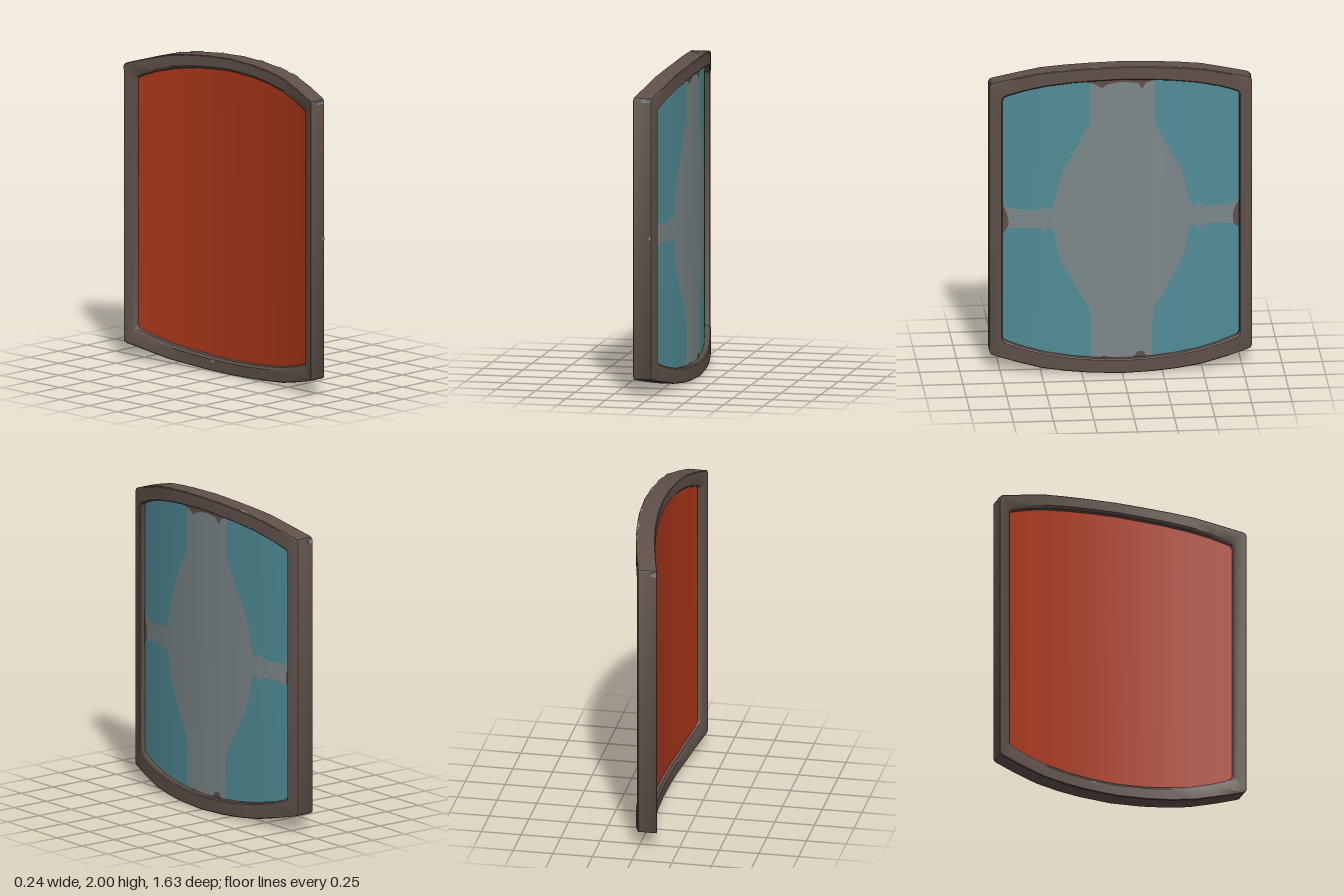
import * as THREE from 'three';
import { toCreasedNormals } from 'three/addons/utils/BufferGeometryUtils.js';

// One quarter of the rim: outer z, outer height, inner z, inner height (heights from the middle)
const QUARTER = [
  [0, 1, 0, 0.915], [0.2, 0.992, 0.18, 0.907], [0.35, 0.979, 0.32, 0.894], [0.5, 0.958, 0.47, 0.87],
  [0.65, 0.918, 0.6, 0.836], [0.79, 0.876, 0.7, 0.799], [0.805, 0.868, 0.725, 0.786], [0.813, 0.852, 0.735, 0.764],
];
// Rim cross-section: how far inwards (0 outer, 1 inner), and depth
const SECTION = [[0.05, 0], [0, 0.004], [0, 0.117], [0.05, 0.121], [0.92, 0.121], [1, 0.114], [1, 0.03], [0.95, 0.012], [0.78, 0]];

// The lower rim arches less than the upper one
const lowerOuter = (h) => -1 + (1 - h) * 0.8;
const lowerInner = (h) => -0.91 + (0.915 - h) * 0.85;

// The whole shield bends backwards towards its sides
const bend = (z) => -0.12 * (z / 0.812) ** 2;

// Linear interpolation in a list of [z, value]
function lerpTable(table, z) {
  for (let i = 1; i < table.length; i++) {
    const [z0, v0] = table[i - 1], [z1, v1] = table[i];
    if (z <= z1) return v0 + (v1 - v0) * (z - z0) / (z1 - z0);
  }
  return table[table.length - 1][1];
}

function makeGeometry(positions, index) {
  const g = new THREE.BufferGeometry();
  g.setAttribute('position', new THREE.Float32BufferAttribute(positions, 3));
  g.setIndex(index);
  g.computeVertexNormals();
  return g;
}

// Closed rim lofted around the outline
function rimGeometry() {
  const upper = (side) => ([oz, oy, iz, iy]) => [oz * side, oy, iz * side, iy];
  const lower = (side) => ([oz, oy, iz, iy]) => [oz * side, lowerOuter(oy), iz * side, lowerInner(iy)];
  const back = [...QUARTER].reverse();
  const loop = [
    ...QUARTER.map(upper(1)),
    ...back.map(lower(1)),
    ...QUARTER.slice(1).map(lower(-1)),
    ...back.slice(0, -1).map(upper(-1)),
  ];
  const pos = [], idx = [], n = loop.length, m = SECTION.length;
  loop.forEach(([oz, oy, iz, iy], i) => {
    SECTION.forEach(([t, x], j) => {
      const z = oz + (iz - oz) * t;
      pos.push(x + bend(z), 1 + oy + (iy - oy) * t, z);
      const a = i * m + j, b = ((i + 1) % n) * m + j;
      const c = i * m + (j + 1) % m, d = ((i + 1) % n) * m + (j + 1) % m;
      idx.push(a, b, c, b, d, c);
    });
  });
  return toCreasedNormals(makeGeometry(pos, idx), 0.6);
}

// Strip of quads between two edges, each a function of z giving [x, y]
function stripGeometry(zs, edgeA, edgeB, flip = false) {
  const pos = [], idx = [];
  zs.forEach((z, i) => {
    pos.push(...edgeA(z), z, ...edgeB(z), z);
    if (i === zs.length - 1) return;
    const a = 2 * i, b = a + 1, c = a + 2, d = a + 3;
    if (flip) idx.push(a, c, b, b, c, d);
    else idx.push(a, b, c, b, d, c);
  });
  return makeGeometry(pos, idx);
}

// Upright curved sheet between two height functions of z
const sheetGeometry = (zs, low, high, depth, facesBack) =>
  stripGeometry(zs, (z) => [depth + bend(z), low(z)], (z) => [depth + bend(z), high(z)], facesBack);

export function createModel() {
  const material = (name, color) => {
    const m = new THREE.MeshStandardMaterial({ color });
    m.name = name;
    return m;
  };
  const brown = material('rim brown', 0x5f5049);
  const teal = material('teal paint', 0x508c95);
  const grey = material('grey metal', 0x7c878a);
  const red = material('red backing', 0xab3719);

  const group = new THREE.Group();
  group.name = 'shield';
  const add = (name, geometry, mat) => {
    const mesh = new THREE.Mesh(geometry, mat);
    mesh.name = name;
    group.add(mesh);
    return mesh;
  };

  add('rim', rimGeometry(), brown);

  // Panel edge, tucked slightly under the rim
  const edge = QUARTER.map((q) => [q[2], q[3]]);
  const top = (z) => 1.003 + lerpTable(edge, Math.abs(z));
  const bottom = (z) => 0.997 + lowerInner(lerpTable(edge, Math.abs(z)));

  // Outline of the grey emblem: central post, swelling boss and side arms
  const emblemTop = [[0.2, 1.62], [0.25, 1.53], [0.3, 1.43], [0.36, 1.32], [0.39, 1.24], [0.41, 1.13], [0.435, 1.06],
    [0.46, 1.055], [0.48, 1.085], [0.51, 1.05], [0.64, 1.05], [0.735, 1.065]];
  const emblemLow = [[0.19, 0.33], [0.2, 0.41], [0.25, 0.49], [0.3, 0.58], [0.36, 0.69], [0.39, 0.75], [0.415, 0.9],
    [0.44, 0.935], [0.46, 0.93], [0.48, 0.9], [0.51, 0.935], [0.64, 0.93], [0.735, 0.915]];
  const greyTop = (z) => (Math.abs(z) < 0.2 ? top(z) : lerpTable(emblemTop, Math.abs(z)));
  const greyLow = (z) => (Math.abs(z) < 0.19 ? bottom(z) : lerpTable(emblemLow, Math.abs(z)));

  const half = [...new Set([...edge, ...emblemTop, ...emblemLow].map((p) => p[0]).concat(0.1, 0.1895, 0.1995))]
    .filter((z) => z > 0).sort((a, b) => a - b);
  const columns = [...half.map((z) => -z).reverse(), 0, ...half];

  const front = 0.082;
  add('emblem', sheetGeometry(columns, greyLow, greyTop, front), grey);
  add('upperPaint', sheetGeometry(columns, greyTop, top, front), teal);
  add('lowerPaint', sheetGeometry(columns, bottom, greyLow, front), teal);
  add('backPanel', sheetGeometry(columns, bottom, top, 0.03, true), red);

  // Worn patches along the panel edge: [z, low, high]
  const patch = (name, points) => {
    const low = points.map((p) => [p[0], p[1]]), high = points.map((p) => [p[0], p[2]]);
    add(name, sheetGeometry(points.map((p) => p[0]), (z) => lerpTable(low, z), (z) => lerpTable(high, z), front + 0.004), brown);
  };
  patch('leftWear', [[0.698, 0.94, 0.98], [0.71, 0.92, 1.03], [0.725, 0.9, 1.06], [0.736, 0.88, 1.12]]);
  patch('rightWear', [[-0.736, 0.88, 1.08], [-0.725, 0.9, 1.05], [-0.71, 0.91, 1.03], [-0.695, 0.93, 0.98]]);
  patch('topWear', [[-0.2, 1.898, 1.908], [-0.15, 1.88, 1.91], [-0.125, 1.843, 1.912], [-0.1, 1.88, 1.913], [0, 1.892, 1.916],
    [0.08, 1.88, 1.913], [0.125, 1.853, 1.912], [0.16, 1.875, 1.911], [0.21, 1.89, 1.907], [0.24, 1.898, 1.904]]);
  patch('bottomWear', [[-0.15, 0.089, 0.1], [-0.135, 0.089, 0.127], [-0.1, 0.088, 0.13], [-0.075, 0.088, 0.1]]);
  patch('smallBottomWear', [[0.08, 0.088, 0.095], [0.11, 0.088, 0.107], [0.14, 0.089, 0.095]]);

  // Bare metal chips along the upper front edge: start, end, width
  const ridge = QUARTER.map((q) => [q[0], q[1]]);
  const ridgeY = (z) => 1.003 + lerpTable(ridge, Math.abs(z));
  const chips = [[-0.55, -0.46, 0.01], [-0.44, -0.31, 0.018], [-0.2, -0.14, 0.018], [0.13, 0.19, 0.018], [0.3, 0.42, 0.014], [0.43, 0.53, 0.01]];
  chips.forEach(([z0, z1, width]) => {
    const mid = (z0 + z1) / 2;
    const inner = (z) => [0.119 + bend(z) - width * (1 - Math.abs((z - mid) / (z1 - mid))), ridgeY(z)];
    const zs = [0, 0.25, 0.5, 0.75, 1].map((t) => z0 + (z1 - z0) * t);
    add('edgeChip', stripGeometry(zs, inner, (z) => [0.119 + bend(z), ridgeY(z)], true), grey);
  });

  // Chips on the rim corners, side and back: size, position
  const marks = [
    [[0.06, 0.018, 0.006], [-0.036, 1.85, 0.812]],
    [[0.035, 0.025, 0.006], [-0.1, 1.845, -0.812]],
    [[0.016, 0.02, 0.006], [-0.01, 0.99, 0.812]],
    [[0.006, 0.012, 0.03], [-0.003, 0.065, -0.15]],
  ];
  marks.forEach(([size, position]) => add('rimChip', new THREE.BoxGeometry(...size), grey).position.set(...position));

  return group;
}
